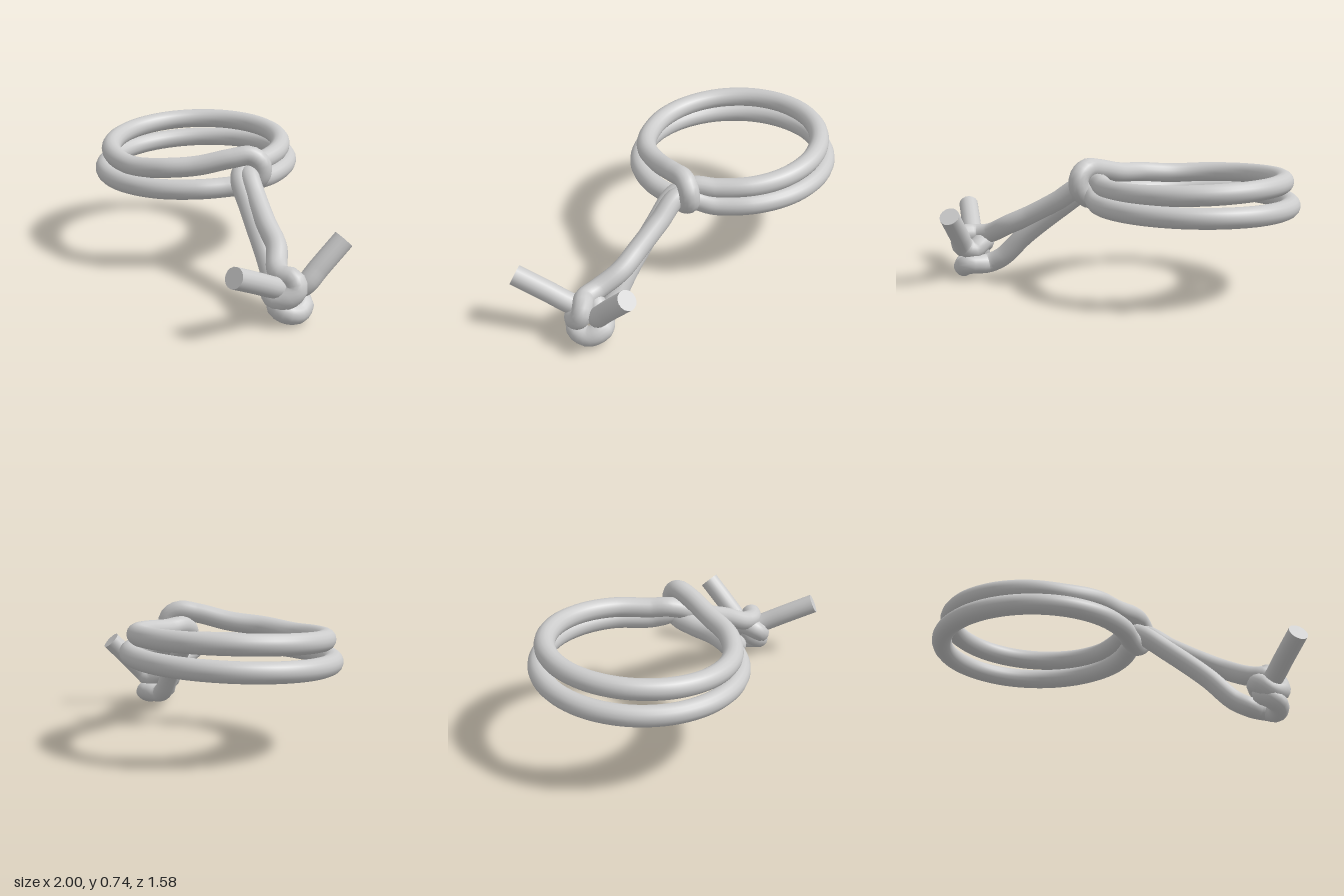
import * as THREE from 'three';

const R = 0.057; // cord radius

// points on one turn of the ring; angle 0 = +x, 90 = +z (front), degrees
function turn(radius, from, to, steps, height) {
  const pts = [];
  for (let i = 0; i <= steps; i++) {
    const a = THREE.MathUtils.degToRad(from + ((to - from) * i) / steps);
    pts.push([-0.4 + radius * Math.cos(a), height(Math.cos(a), Math.sin(a)), -0.19 + radius * Math.sin(a)]);
  }
  return pts;
}

// smooth cord through points
function cord(name, points, segments, material) {
  const curve = new THREE.CatmullRomCurve3(points.map((p) => new THREE.Vector3(...p)));
  const mesh = new THREE.Mesh(new THREE.TubeGeometry(curve, segments, R, 16), material);
  mesh.name = name;
  return { mesh, curve };
}

// flat disc closing a cord end
function cap(name, curve, t, material) {
  const mesh = new THREE.Mesh(new THREE.CircleGeometry(R, 16), material);
  const dir = curve.getTangentAt(t).multiplyScalar(t === 0 ? -1 : 1);
  mesh.position.copy(curve.getPointAt(t));
  mesh.quaternion.setFromUnitVectors(new THREE.Vector3(0, 0, 1), dir);
  mesh.name = name;
  return mesh;
}

export function createModel() {
  const group = new THREE.Group();
  group.name = 'knottedCord';
  const material = new THREE.MeshStandardMaterial({ color: 0xcccccc });

  // front tail, lower knot strand and lower standing strand
  const lowerStrand = [
    [0.785, 0.355, 0.765], [0.785, 0.28, 0.6], [0.785, 0.21, 0.45],
    [0.77, 0.18, 0.36], [0.75, 0.14, 0.38], [0.78, 0.1, 0.43],
    [0.83, 0.075, 0.42], [0.855, 0.06, 0.35], [0.83, 0.09, 0.28],
    [0.77, 0.09, 0.28], [0.71, 0.088, 0.3], [0.63, 0.13, 0.27],
    [0.5, 0.27, 0.21], [0.3, 0.45, 0.11], [0.16, 0.57, 0.03], [0.115, 0.61, -0.07],
  ];
  // doubled ring: upper turn, folded bight, lower turn
  const upperTurn = turn(0.505, 0, -315, 14, (c, s) => 0.618 - 0.03 * s - 0.012 * c + (s > 0 && c > 0 ? 0.06 * c : 0));
  const bight = [
    [0.1, 0.675, 0.05], [0.18, 0.69, -0.03], [0.225, 0.65, -0.065],
    [0.225, 0.58, -0.07], [0.17, 0.525, -0.035], [0.09, 0.51, 0.06],
  ];
  const lowerTurn = turn(0.545, 45, 360, 14, (c, s) => 0.51 - 0.02 * s + 0.012 * c);
  // upper standing strand, wrap around the front tail, rear tail
  const upperStrand = [
    [0.155, 0.55, -0.08], [0.2, 0.585, 0], [0.33, 0.49, 0.08], [0.47, 0.4, 0.16],
    [0.6, 0.33, 0.23], [0.7, 0.26, 0.34], [0.77, 0.25, 0.385], [0.84, 0.25, 0.375],
    [0.868, 0.2, 0.38], [0.84, 0.155, 0.42], [0.78, 0.14, 0.44], [0.727, 0.18, 0.42],
    [0.74, 0.21, 0.34], [0.8, 0.17, 0.3], [0.85, 0.2, 0.29], [0.885, 0.28, 0.225], [0.945, 0.42, 0.1],
  ];

  const { mesh, curve } = cord('cord', [...lowerStrand, ...upperTurn, ...bight, ...lowerTurn, ...upperStrand], 420, material);
  group.add(mesh, cap('frontTailEnd', curve, 0, material), cap('rearTailEnd', curve, 1, material));
  return group;
}
